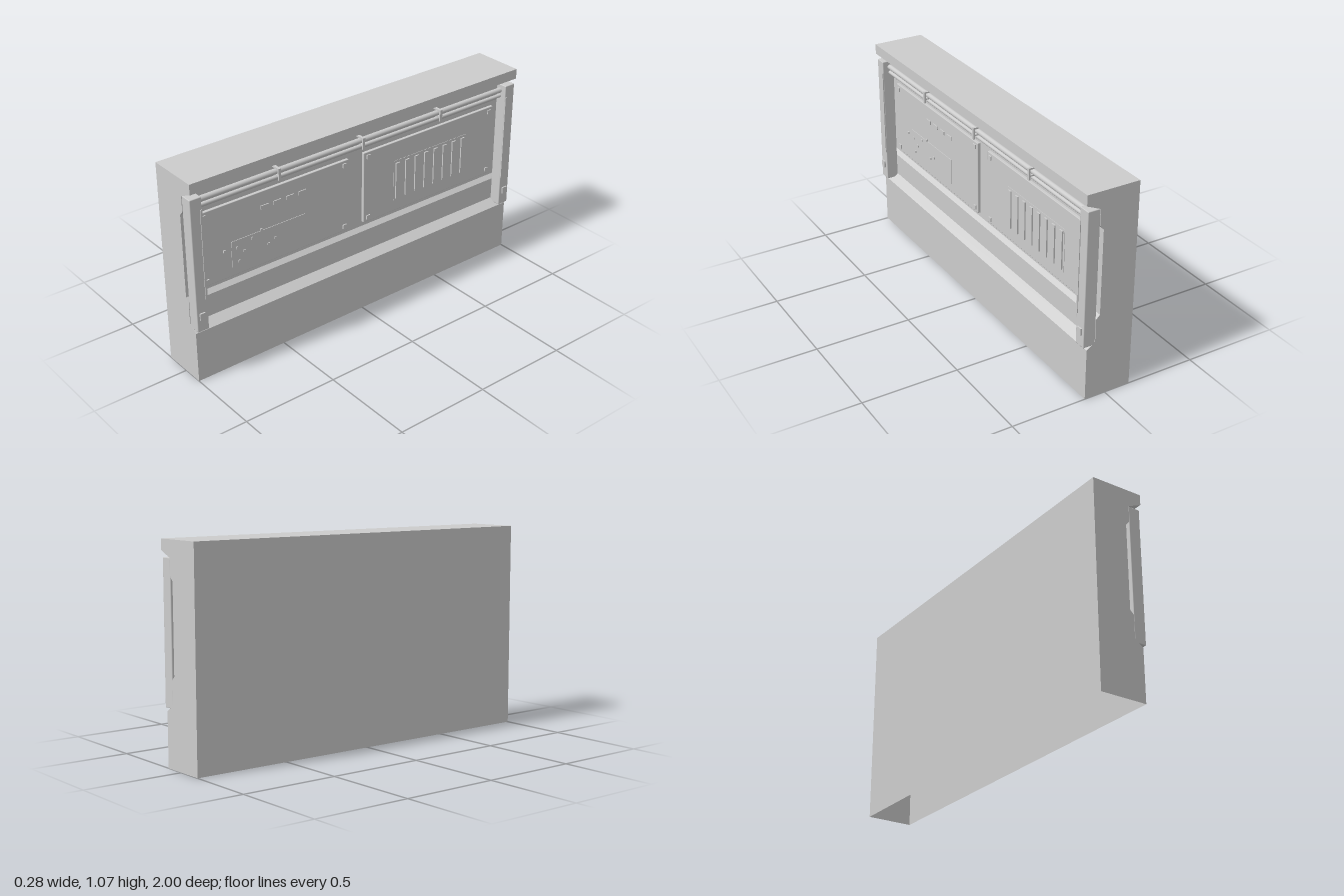
import * as THREE from 'three';
import { RoundedBoxGeometry } from 'three/addons/geometries/RoundedBoxGeometry.js';

const grey = new THREE.MeshStandardMaterial({ color: 0xcccccc, side: THREE.DoubleSide });
grey.name = 'plainGrey';

// Box given by its min/max extents on each axis
function block(parent, name, [x0, x1], [y0, y1], [z0, z1], radius = 0) {
  const size = [x1 - x0, y1 - y0, Math.abs(z1 - z0)];
  const geo = radius
    ? new RoundedBoxGeometry(...size, 1, radius)
    : new THREE.BoxGeometry(...size);
  const mesh = new THREE.Mesh(geo, grey);
  mesh.name = name;
  mesh.position.set((x0 + x1) / 2, (y0 + y1) / 2, (z0 + z1) / 2);
  parent.add(mesh);
  return mesh;
}

// Wall cross-section swept along z, left open underneath
function wallBody() {
  const profile = [
    [-0.1375, 0], [0.11, 0], [0.11, 0.27], [0.065, 0.303], [0.065, 0.42],
    [0.045, 0.44], [0.045, 0.877], [0.065, 0.9], [0.065, 0.983],
    [0.1375, 1.015], [0.1375, 1.068], [-0.1375, 1.068],
  ];
  const shape = new THREE.Shape(profile.map(([x, y]) => new THREE.Vector2(x, y)));
  const geo = new THREE.ExtrudeGeometry(shape, { depth: 2, bevelEnabled: false });
  geo.translate(0, 0, -1);
  const p = geo.attributes.position;
  const keep = [];
  for (let i = 0; i < p.count; i += 3) {
    if (Math.max(p.getY(i), p.getY(i + 1), p.getY(i + 2)) > 1e-4) keep.push(i, i + 1, i + 2);
  }
  geo.setIndex(keep);
  geo.clearGroups();
  const mesh = new THREE.Mesh(geo, grey);
  mesh.name = 'wallBody';
  return mesh;
}

// End post with a trim strip and a small switch block
function endPost(side) {
  const g = new THREE.Group();
  g.name = side > 0 ? 'leftPost' : 'rightPost';
  const span = (a, b) => (side > 0 ? [a, b] : [-b, -a]);
  block(g, 'post', [0.065, 0.129], [0.286, 0.984], span(0.937, 0.999), 0.004);
  block(g, 'trimStrip', [0.125, 0.133], [0.45, 0.92], span(0.938, 0.948));
  block(g, 'switchBlock', [0.125, 0.1365], [0.35, 0.386], span(0.955, 0.985));
  return g;
}

// Recessed plate with a bolt in each corner
function panel(name, z0, z1) {
  const g = new THREE.Group();
  g.name = name;
  block(g, 'plate', [0.043, 0.061], [0.465, 0.855], [z0, z1], 0.003);
  for (const y of [0.49, 0.83])
    for (const z of [z0 + 0.028, z1 - 0.028])
      block(g, 'cornerBolt', [0.058, 0.067], [y - 0.011, y + 0.011], [z - 0.011, z + 0.011]);
  return g;
}

export function createModel() {
  const model = new THREE.Group();
  model.name = 'wallPanel';
  model.add(wallBody(), endPost(1), endPost(-1));

  // Control panel: display plate, keys and scattered studs
  const control = panel('controlPanel', 0.05, 0.92);
  block(control, 'display', [0.058, 0.064], [0.51, 0.65], [0.32, 0.75]);
  for (const z of [0.335, 0.409, 0.482, 0.555])
    block(control, 'key', [0.058, 0.066], [0.762, 0.782], [z - 0.022, z + 0.022]);
  const studs = [
    [0.79, 0.615], [0.71, 0.535], [0.68, 0.58], [0.635, 0.63],
    [0.58, 0.655], [0.54, 0.565], [0.5, 0.585], [0.72, 0.61],
  ];
  for (const [z, y] of studs)
    block(control, 'stud', [0.058, 0.068], [y - 0.006, y + 0.006], [z - 0.006, z + 0.006]);
  model.add(control);

  // Vent panel: backing plate with eight slats
  const vent = panel('ventPanel', -0.92, -0.045);
  block(vent, 'ventBacking', [0.058, 0.063], [0.525, 0.75], [-0.73, -0.24]);
  for (let i = 0; i < 8; i++) {
    const z = -0.262 - i * 0.0635;
    block(vent, 'slat', [0.06, 0.07], [0.535, 0.737], [z - 0.012, z + 0.012]);
  }
  model.add(vent);

  // Two pipes running between the posts
  for (const [y, r] of [[0.951, 0.014], [0.92, 0.01]]) {
    const pipe = new THREE.Mesh(new THREE.CylinderGeometry(r, r, 1.88, 16), grey);
    pipe.name = 'pipe';
    pipe.rotation.x = Math.PI / 2;
    pipe.position.set(0.088, y, 0);
    model.add(pipe);
  }

  // Clamps hooked round the pipes
  for (const z of [-0.5, 0, 0.5]) {
    const clamp = new THREE.Group();
    clamp.name = 'pipeClamp';
    const width = [z - 0.007, z + 0.007];
    block(clamp, 'upperArm', [0.062, 0.116], [0.965, 0.973], width);
    block(clamp, 'middleArm', [0.062, 0.116], [0.93, 0.937], width);
    block(clamp, 'frontBar', [0.108, 0.116], [0.912, 0.973], width);
    model.add(clamp);
  }
  return model;
}
